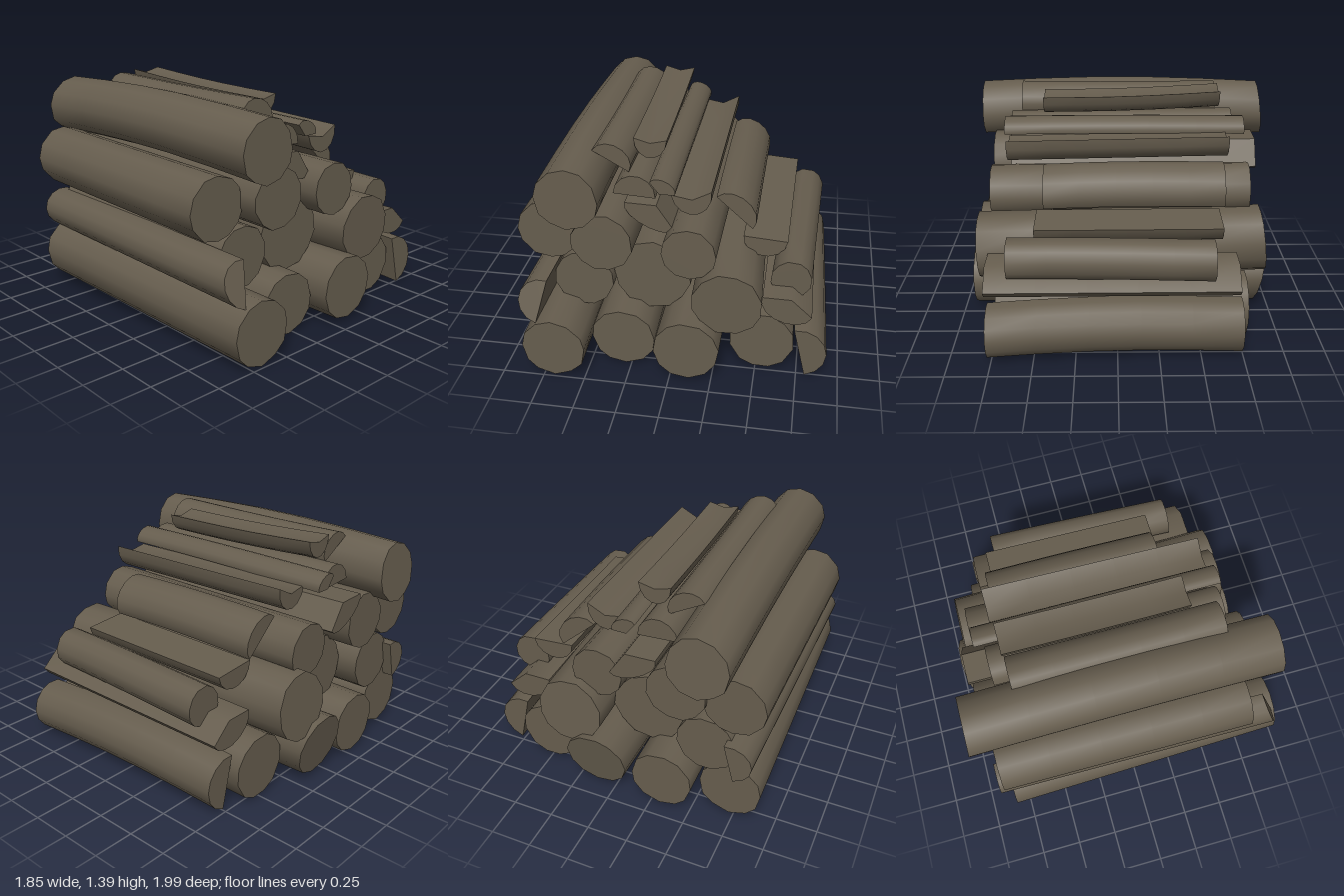
import * as THREE from 'three';
import { toCreasedNormals } from 'three/addons/utils/BufferGeometryUtils.js';

const wood = new THREE.MeshStandardMaterial({ color: 0x665d4e });
wood.name = 'weathered wood';

// Seeded wobble for the uneven round sections
function makeRandom(seed) {
  return () => (seed = (seed * 16807) % 2147483647) / 2147483647;
}

// Uneven round section around (x, y)
function roundSection(x, y, r, rand) {
  const sides = 12, phase = rand() * Math.PI;
  return Array.from({ length: sides }, (_, i) => {
    const a = phase + (i + (rand() - 0.5) * 0.25) / sides * Math.PI * 2;
    const k = r * (1 + (rand() - 0.5) * 0.05);
    return new THREE.Vector2(x + Math.cos(a) * k, y + Math.sin(a) * k);
  });
}

// Split section: a sawn chord from a to b, closed by a half ellipse of height h
// on its left side; sag dents the chord inwards (negative swells it outwards)
function splitSection(ax, ay, bx, by, h, sag) {
  const a = new THREE.Vector2(ax, ay), b = new THREE.Vector2(bx, by);
  const mid = a.clone().add(b).multiplyScalar(0.5);
  const half = b.clone().sub(mid);
  const out = new THREE.Vector2(-half.y, half.x).normalize();
  const at = (u, v) => mid.clone().addScaledVector(half, u).addScaledVector(out, v);
  const points = [at(0, sag)];
  for (let i = 0; i <= 7; i++) {
    const t = i / 7 * Math.PI;
    points.push(at(Math.cos(t), h * Math.sin(t)));
  }
  return points;
}

// Sweep a section from z = front to z = back: the back end is shifted by (dx, dy),
// the middle is bowed in y, and the saw cuts lean with height
function sweepLog(name, section, front, back, { dx = 0, dy = 0, bow = 0, leanFront = 0, leanBack = 0 }) {
  const geo = new THREE.ExtrudeGeometry(new THREE.Shape(section), { depth: 1, steps: 5, bevelEnabled: false });
  const cy = section.reduce((sum, p) => sum + p.y, 0) / section.length;
  const pos = geo.attributes.position;
  for (let i = 0; i < pos.count; i++) {
    const x = pos.getX(i), y = pos.getY(i), t = 1 - pos.getZ(i);
    const lean = (y - cy) * THREE.MathUtils.lerp(leanFront, leanBack, t);
    pos.setXYZ(i, x + dx * t, y + dy * t + bow * Math.sin(t * Math.PI),
      THREE.MathUtils.lerp(front, back, t) + lean);
  }
  const mesh = new THREE.Mesh(toCreasedNormals(geo, 0.85), wood);
  mesh.name = name;
  return mesh;
}

export function createModel() {
  const pile = new THREE.Group();
  pile.name = 'firewoodPile';
  const rand = makeRandom(7);

  const round = (name, x, y, r, front, back, shape) =>
    pile.add(sweepLog(name, roundSection(x, y, r, rand), front, back, shape));
  const split = (name, ax, ay, bx, by, h, sag, front, back, shape) =>
    pile.add(sweepLog(name, splitSection(ax, ay, bx, by, h, sag), front, back, shape));

  // Bottom row
  round('bottomLogA', -0.68, 0.205, 0.19, 0.99, -0.83, { dx: -0.045, dy: 0.015 });
  round('bottomLogB', -0.295, 0.195, 0.192, 0.81, -0.9, { dx: -0.02, bow: 0.01 });
  round('bottomLogC', 0.1, 0.225, 0.195, 0.92, -0.93, { dy: 0.005, bow: -0.015, leanBack: -0.2 });
  round('bottomLogD', 0.53, 0.205, 0.195, 0.73, -0.79, { dx: -0.035, bow: 0.01 });
  split('bottomRightSplit', 0.725, 0.335, 0.8, 0.015, 0.16, 0, 0.77, -0.74, { dx: -0.04, dy: 0.01, bow: 0.025 });

  // Second row
  split('secondLeftSplit', -0.78, 0.365, -0.72, 0.61, 0.14, 0, 0.92, -0.9, { dx: 0.02, leanFront: -0.35 });
  round('secondLogA', -0.55, 0.52, 0.185, 0.69, -0.84, { dx: -0.02, dy: 0.01 });
  round('secondLogB', -0.14, 0.555, 0.23, 0.65, -0.71, { dx: -0.02, bow: 0.01 });
  round('secondLogC', 0.33, 0.53, 0.205, 0.85, -0.91, { dx: -0.06, dy: 0.015, leanFront: 0.03, leanBack: 0.1 });
  split('secondRightSplit', 0.82, 0.445, 0.53, 0.56, 0.11, -0.06, 0.78, -0.72, { dx: -0.01 });
  round('thinLog', 0.685, 0.605, 0.122, 0.645, -0.565, { dx: 0.04, bow: 0.005 });
  split('flatTopSplit', 0.65, 0.765, 0.385, 0.785, 0.12, 0, 0.49, -0.62, { dx: 0.01, dy: 0.01 });

  // Third row
  round('thirdLogA', -0.74, 0.845, 0.187, 0.7, -0.85, { dx: 0.01, dy: 0.015 });
  round('thirdLogB', -0.395, 0.86, 0.18, 0.82, -0.88, { dy: 0.01 });
  round('thirdLogC', 0.1, 0.81, 0.16, 0.79, -0.83, { dx: 0.015, dy: 0.015 });
  split('thirdRightSplit', 0.215, 1.01, 0.435, 0.81, 0.11, 0, 0.445, -0.65, { dy: 0.01, bow: 0.01 });
  split('middleSplit', 0, 0.9, -0.285, 1.06, 0.07, -0.085, 0.68, -0.9, { dx: -0.005, dy: 0.02 });
  split('cupSplit', 0.215, 1.165, -0.015, 1.13, 0.135, 0.04, 0.68, -0.69, { dx: 0.01, dy: 0.03 });

  // Top of the pile
  split('smallSplit', -0.13, 1.215, 0.012, 1.145, 0.05, -0.04, 0.71, -0.81, { bow: 0.005 });
  split('domeSplit', -0.35, 1.115, -0.105, 1.1, 0.125, 0, 0.68, -0.75, { dx: -0.01, dy: 0.01 });
  split('upperSplit', -0.475, 1.345, -0.265, 1.225, 0.1, 0, 0.62, -0.65, { dy: 0.0, bow: -0.005 });
  split('topSplit', -0.075, 1.36, -0.27, 1.365, 0.12, 0.025, 0.465, -0.66, { dx: -0.01, dy: 0.035, bow: -0.01 });
  round('topLog', -0.56, 1.168, 0.182, 0.9, -0.98, { dy: -0.005, bow: 0.03, leanBack: 0.1 });

  return pile;
}
